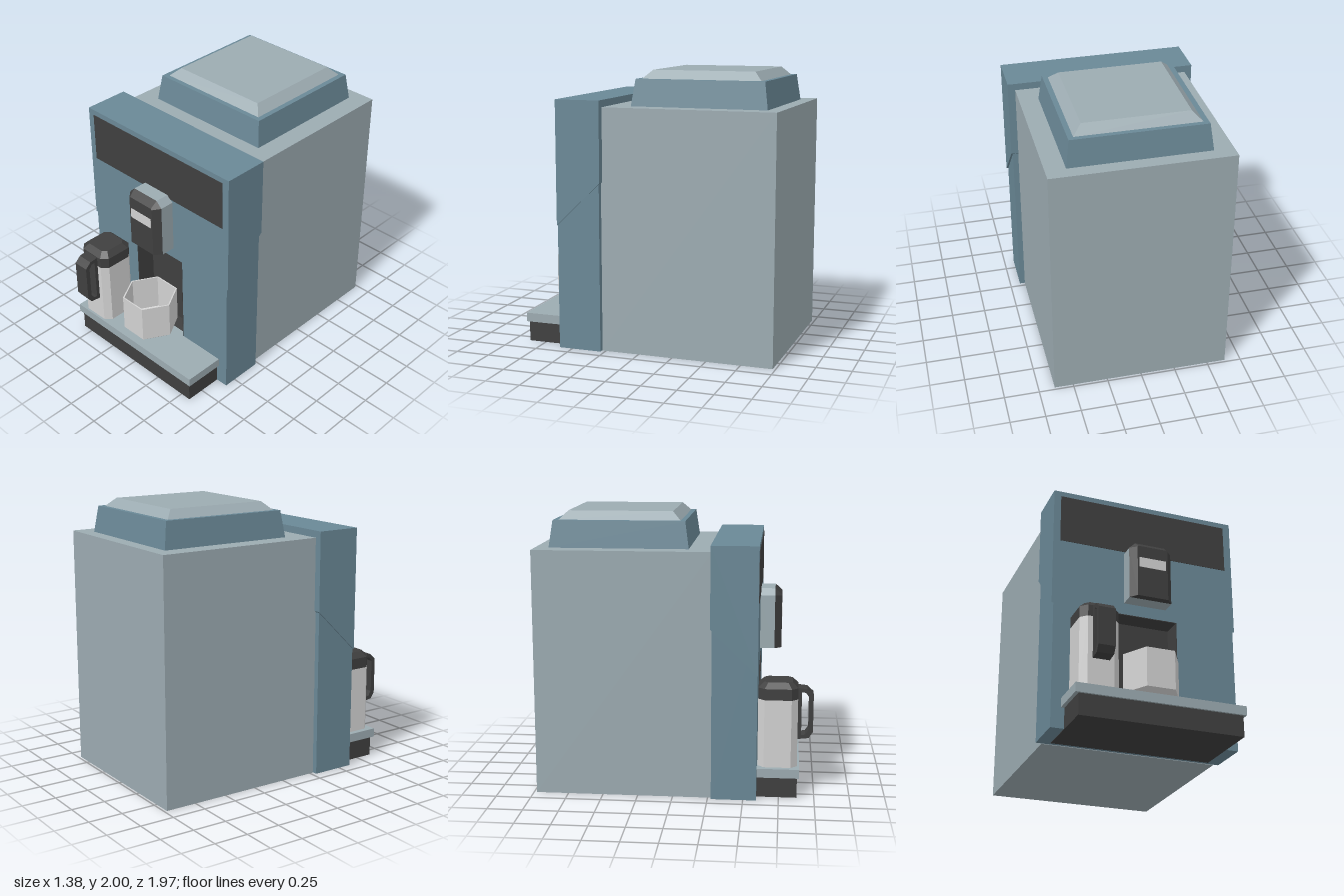
import * as THREE from 'three';

const mat = (name, color) => {
  const m = new THREE.MeshStandardMaterial({ color, side: THREE.DoubleSide });
  m.name = name;
  return m;
};

// Joins convex rings of [x, y, z] points, closing both ends
function loft(rings) {
  const pos = [], n = rings[0].length;
  const tri = (a, b, c) => pos.push(...a, ...b, ...c);
  for (let r = 0; r < rings.length - 1; r++) {
    for (let i = 0; i < n; i++) {
      const j = (i + 1) % n, lo = rings[r], hi = rings[r + 1];
      tri(lo[i], lo[j], hi[j]);
      tri(lo[i], hi[j], hi[i]);
    }
  }
  const last = rings[rings.length - 1];
  for (let i = 1; i < n - 1; i++) {
    tri(rings[0][0], rings[0][i + 1], rings[0][i]);
    tri(last[0], last[i], last[i + 1]);
  }
  const g = new THREE.BufferGeometry();
  g.setAttribute('position', new THREE.Float32BufferAttribute(pos, 3));
  g.computeVertexNormals();
  return g;
}

// Horizontal rectangle ring with cut corners, counter-clockwise from above
function rectRing(cx, cz, hx, hz, y, c = 0) {
  const p = c > 0
    ? [[-hx + c, hz], [hx - c, hz], [hx, hz - c], [hx, -hz + c], [hx - c, -hz], [-hx + c, -hz], [-hx, -hz + c], [-hx, hz - c]]
    : [[-hx, hz], [hx, hz], [hx, -hz], [-hx, -hz]];
  return p.map(([x, z]) => [cx + x, y, cz + z]);
}

const polygon = (pts, Kind = THREE.Shape) => new Kind(pts.map(p => new THREE.Vector2(...p)));
const rect = (w, y0, y1) => [[-w, y0], [w, y0], [w, y1], [-w, y1]];

function extrude(outer, depth, hole) {
  const s = polygon(outer);
  if (hole) s.holes.push(polygon(hole, THREE.Path));
  return new THREE.ExtrudeGeometry(s, { depth, bevelEnabled: false });
}

// Extrudes a (z, y) profile across x
const extrudeAcross = (outer, width, cx, hole) =>
  extrude(outer, width, hole).translate(0, 0, -width / 2).rotateY(-Math.PI / 2).translate(cx, 0, 0);

// Box from its limits
const box = (x0, x1, y0, y1, z0, z1) =>
  new THREE.BoxGeometry(x1 - x0, y1 - y0, z1 - z0).translate((x0 + x1) / 2, (y0 + y1) / 2, (z0 + z1) / 2);

export function createModel() {
  const model = new THREE.Group();
  model.name = 'coffeeMachine';
  const blue = mat('slate blue', 0x6a8896);
  const light = mat('pale blue grey', 0x9cabb1);
  const dark = mat('charcoal', 0x3f3f3f);
  const white = mat('off white', 0xd2d2d2);
  const add = (name, geometry, material, parent = model) => {
    const m = new THREE.Mesh(geometry, material);
    m.name = name;
    parent.add(m);
    return m;
  };

  // Main body
  add('body', box(-0.635, 0.635, 0, 1.75, -0.98, 0.275), light);

  // Front: lower panel with an alcove, and a wider upper panel with a slanted lower edge
  add('lowerPanel', extrude(rect(0.675, 0.004, 1.3), 0.318, rect(0.235, 0.2, 0.905)).translate(0, 0, 0.275), blue);
  add('upperPanel', extrudeAcross([[0.595, 0.905], [0.595, 1.8], [0.265, 1.8], [0.265, 1.225]], 1.376, 0), blue);
  add('displayPanel', box(-0.637, 0.633, 1.4, 1.76, 0.59, 0.598), dark);

  // Dark alcove lining
  add('alcoveLining', extrude(rect(0.236, 0.199, 0.906), 0.145, rect(0.23, 0.205, 0.9)).translate(0, 0, 0.45), dark);
  add('alcoveBack', box(-0.234, 0.234, 0.201, 0.904, 0.44, 0.45), dark);

  // Bean hopper and lid
  add('hopper', loft([rectRing(0, -0.39, 0.495, 0.492, 1.75), rectRing(0, -0.39, 0.47, 0.465, 1.94)]), blue);
  add('hopperLid', loft([rectRing(0, -0.39, 0.435, 0.432, 1.938), rectRing(0, -0.39, 0.37, 0.37, 2)]), light);

  // Drip tray
  add('trayBase', box(-0.58, 0.58, 0, 0.15, 0.31, 0.878), dark);
  add('trayTop', box(-0.605, 0.6, 0.15, 0.215, 0.56, 0.893), light);

  // Brewing spout: pale housing, bevelled dark front, small label
  const spoutRing = (w, top, cut, z) => [
    [-w, 0.99, z], [w, 0.99, z], [w, top - cut, z], [w - cut, top, z], [-w + cut, top, z], [-w, top - cut, z],
  ];
  const spout = new THREE.Group();
  spout.name = 'spout';
  spout.position.x = -0.003;
  model.add(spout);
  add('spoutHousing', loft([spoutRing(0.157, 1.425, 0.045, 0.59), spoutRing(0.157, 1.425, 0.045, 0.7)]), light, spout);
  add('spoutFront', loft([spoutRing(0.157, 1.425, 0.045, 0.7), spoutRing(0.113, 1.38, 0.008, 0.75)]), dark, spout);
  add('spoutLabel', box(-0.1, 0.1, 1.215, 1.29, 0.746, 0.753), white, spout);

  // Six-sided open cup
  const cupProfile = [[0, 0.22], [0.14, 0.22], [0.203, 0.27], [0.203, 0.55], [0.192, 0.55], [0.192, 0.275], [0.13, 0.232], [0, 0.232]]
    .map(p => new THREE.Vector2(...p));
  const cupGeo = new THREE.LatheGeometry(cupProfile, 6, Math.PI / 2).toNonIndexed();
  cupGeo.computeVertexNormals();
  add('cup', cupGeo, white).position.set(-0.005, 0, 0.695);

  // Milk jug with lid and handle
  const jug = new THREE.Group();
  jug.name = 'milkJug';
  model.add(jug);
  const jugRing = (y, inset = 0) => rectRing(-0.428, 0.736, 0.138 - inset, 0.14 - inset, y, 0.045 - inset * 0.4);
  add('jugBody', loft([jugRing(0.215), jugRing(0.705)]), white, jug);
  add('jugLid', loft([jugRing(0.705), jugRing(0.785), jugRing(0.825, 0.04)]), dark, jug);
  add('jugHandle', extrudeAcross(
    [[0.87, 0.405], [0.955, 0.415], [0.985, 0.46], [0.985, 0.73], [0.94, 0.772], [0.87, 0.78]], 0.118, -0.428,
    [[0.902, 0.435], [0.93, 0.44], [0.953, 0.475], [0.953, 0.715], [0.93, 0.745], [0.902, 0.748]]), dark, jug);

  return model;
}
